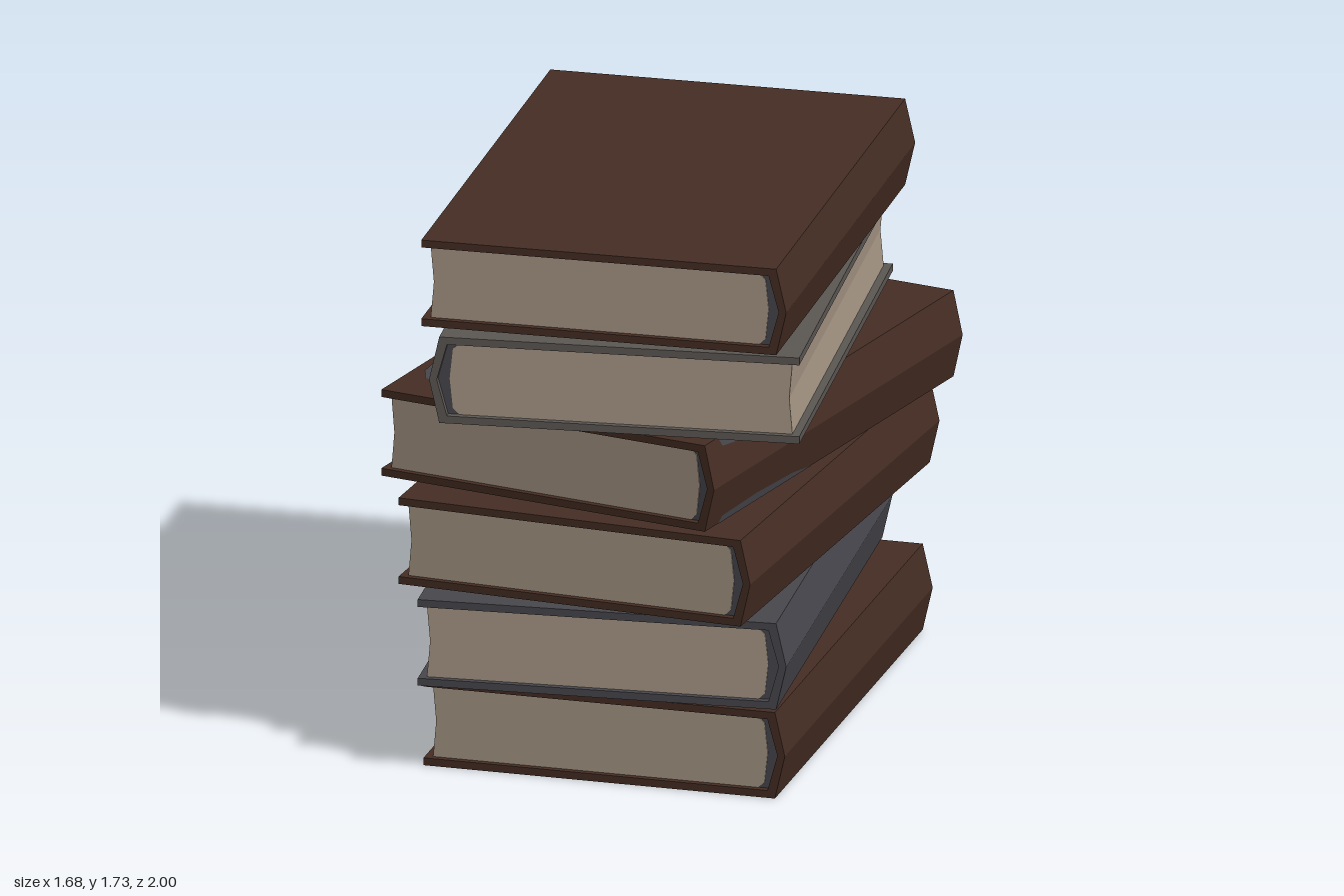
import * as THREE from 'three';

const W = 1.16, H = 0.281, L = 1.645;   // book width with spine bulge, height, length
const T = 0.024, BULGE = 0.032;         // cover thickness, spine bulge
const STEP = 0.289;                     // stacking distance

const material = (name, color, side = THREE.FrontSide) => {
  const m = new THREE.MeshStandardMaterial({ color, side });
  m.name = name;
  return m;
};

const shapeOf = (pts) => new THREE.Shape(pts.map(([x, y]) => new THREE.Vector2(x, y)));

// Constant cross-section running along z, centred
function prism(pts, depth) {
  const g = new THREE.ExtrudeGeometry(shapeOf(pts), { depth, bevelEnabled: false });
  return g.translate(0, 0, -depth / 2);
}

function part(name, geometry, mat) {
  const mesh = new THREE.Mesh(geometry, mat);
  mesh.name = name;
  return mesh;
}

export function createModel() {
  const brown = material('brown leather', 0x452d23);
  const slate = material('slate cloth', 0x47474d);
  const grey = material('warm grey cloth', 0x5c5753);
  const paper = material('aged paper', 0xa89886);

  const root = new THREE.Group();
  root.name = 'bookStack';
  const l = -W / 2, r = W / 2, s = r - BULGE;

  // C-shaped cover: two boards joined by an angular, bulging spine
  const coverGeo = prism([
    [l, 0], [s, 0], [r, H / 2], [s, H], [l, H],
    [l, H - T], [s - T, H - T], [r - T, H / 2], [s - T, T], [l, T],
  ], L);

  // Page block with a slightly hollow fore-edge and a rounded back
  const p = l + 0.025, b = s - T;
  const pageGeo = prism([
    [p, T], [b - 0.035, T], [b - 0.015, T + 0.02], [b - 0.005, H / 2],
    [b - 0.015, H - T - 0.02], [b - 0.035, H - T], [p, H - T], [p + 0.01, H / 2],
  ], L - 0.04);

  // Lining between the page block and the spine
  const liningGeo = prism([
    [b - 0.037, T], [b, T], [r - T, H / 2], [b, H - T], [b - 0.037, H - T],
    [b - 0.017, H - T - 0.02], [b - 0.007, H / 2], [b - 0.017, T + 0.02],
  ], L - 0.046);

  // Books from the bottom up: cover, centre x, centre z, turn in degrees
  const books = [
    [brown, 0.02, 0.03, -9.5],
    [slate, -0.048, 0.06, -4.9],
    [brown, -0.005, 0.058, -14.2],
    [brown, -0.005, -0.022, -21.2],
    [grey, -0.03, 0.06, 176.5],
    [brown, -0.01, 0.035, -7.4],
  ].map(([cover, x, z, turn], i) => {
    const book = new THREE.Group();
    book.name = `book${i + 1}`;
    book.add(
      part('cover', coverGeo, cover),
      part('pages', pageGeo, paper),
      part('spineLining', liningGeo, slate),
    );
    book.position.set(x, i * STEP, z);
    book.rotation.y = THREE.MathUtils.degToRad(turn);
    root.add(book);
    return book;
  });

  // Worn strips along the spine edges of the fourth book, following its slope
  const strips = [
    [[-0.74, H], [-0.72, H - 0.03], [-0.62, H - 0.042], [-0.3, H - 0.035], [-0.1, H - 0.02], [-0.06, H]],
    [[-0.74, 0], [-0.72, 0.022], [-0.5, 0.028], [-0.25, 0.018], [-0.12, 0]],
  ];
  for (const pts of strips) {
    const g = new THREE.ShapeGeometry(shapeOf(pts)).rotateY(Math.PI / 2);
    const a = g.attributes.position;
    for (let i = 0; i < a.count; i++) {
      a.setX(i, r + 0.002 - BULGE * Math.abs(a.getY(i) - H / 2) / (H / 2));
    }
    g.computeVertexNormals();
    books[3].add(part('wornSpineEdge', g, slate));
  }

  // Worn patches on the upper board of the fourth book, as x and z
  const patches = [
    [[-0.72, 0.42], [-0.73, 0.35], [-0.69, 0.18], [-0.62, 0.03], [-0.56, 0.1], [-0.58, 0.38], [-0.66, 0.46]],
    [[-0.27, -0.86], [-0.2, -0.88], [-0.14, -0.85], [-0.1, -0.78], [-0.25, -0.76]],
  ];
  for (const pts of patches) {
    const g = new THREE.ShapeGeometry(shapeOf(pts.map(([x, z]) => [x, -z]))).rotateX(-Math.PI / 2);
    const patch = part('wornPatch', g, slate);
    patch.position.y = 3 * STEP + H + 0.002;
    root.add(patch);
  }

  return root;
}
